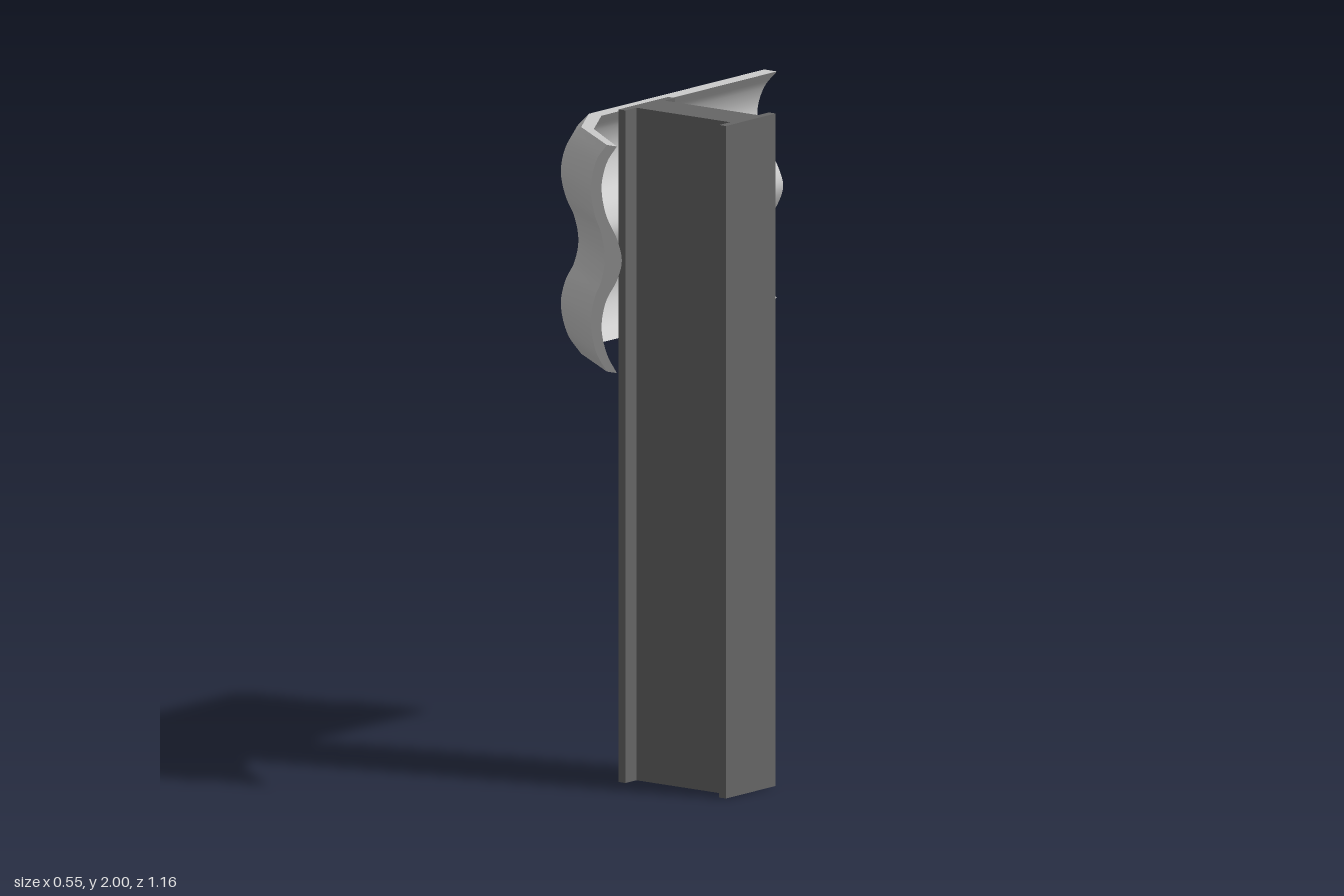
import * as THREE from 'three';
import { mergeGeometries } from 'three/addons/utils/BufferGeometryUtils.js';

// Smooth surface through rows of points
function gridSurface(rows) {
  const n = rows[0].length, positions = [], index = [];
  rows.forEach(row => row.forEach(p => positions.push(p.x, p.y, p.z)));
  for (let i = 0; i < rows.length - 1; i++) {
    for (let j = 0; j < n - 1; j++) {
      const a = i * n + j, b = a + 1, c = a + n, d = c + 1;
      index.push(a, b, c, b, d, c);
    }
  }
  const g = new THREE.BufferGeometry();
  g.setAttribute('position', new THREE.Float32BufferAttribute(positions, 3));
  g.setIndex(index);
  g.computeVertexNormals();
  return g;
}

// Double-wave profile from its upper half, mirrored about the mid height, top to bottom
const MID_Y = 1.648;
function waveProfile(half) {
  const lower = half.slice(0, -1).reverse().map(([x, h]) => [x, -h]);
  const points = [...half, ...lower].map(([x, h]) => new THREE.Vector3(x, MID_Y + h, 0));
  return new THREE.CatmullRomCurve3(points, false, 'centripetal').getPoints(48);
}

// I-section post
function createPost() {
  const [x0, x1, x2, x3] = [-0.125, -0.1, 0.247, 0.272];
  const [z0, z1, z2, z3] = [-0.03, 0.02, 0.153, 0.205];
  const section = new THREE.Shape([
    [x0, z0], [x1, z0], [x1, z1], [x2, z1], [x2, z0], [x3, z0],
    [x3, z3], [x2, z3], [x2, z2], [x1, z2], [x1, z3], [x0, z3],
  ].map(p => new THREE.Vector2(...p)));
  const geometry = new THREE.ExtrudeGeometry(section, { depth: 2, bevelEnabled: false });
  geometry.rotateX(Math.PI / 2).translate(0, 2, 0);
  const post = new THREE.Mesh(geometry, new THREE.MeshStandardMaterial({ color: 0x666666 }));
  post.name = 'post';
  return post;
}

// Corrugated rail with its front end flared behind the post line
function createRail() {
  const outer = waveProfile([
    [-0.2, 0.337], [-0.25, 0.285], [-0.275, 0.2], [-0.258, 0.125], [-0.226, 0.07], [-0.21, 0],
  ]);
  const inner = waveProfile([
    [-0.153, 0.337], [-0.2, 0.285], [-0.225, 0.21], [-0.205, 0.13], [-0.152, 0.06], [-0.13, 0],
  ]);
  // Stations along the rail: z, outer edge x, width factor
  const stations = [[-0.58, -0.275, 1], [0.25, -0.275, 1], [0.418, -0.172, 1], [0.58, 0.066, 0.79]];
  const place = (profile, [z, x, s]) =>
    profile.map(p => new THREE.Vector3(x + (p.x + 0.275) * s, p.y, z));
  const sweep = profile => gridSurface(stations.map(st => place(profile, st)));

  const back = stations[0], front = stations[stations.length - 1];
  const geometry = mergeGeometries([
    sweep(outer),
    sweep([...inner].reverse()),
    sweep([inner[0], outer[0]]),            // top lip
    sweep([outer.at(-1), inner.at(-1)]),    // bottom lip
    gridSurface([place(outer, front), place(inner, front)]),
    gridSurface([place(inner, back), place(outer, back)]),
  ]);
  const rail = new THREE.Mesh(geometry, new THREE.MeshStandardMaterial({ color: 0xcccccc }));
  rail.name = 'rail';
  return rail;
}

export function createModel() {
  const group = new THREE.Group();
  group.name = 'guardrailEnd';
  group.add(createPost(), createRail());
  return group;
}
